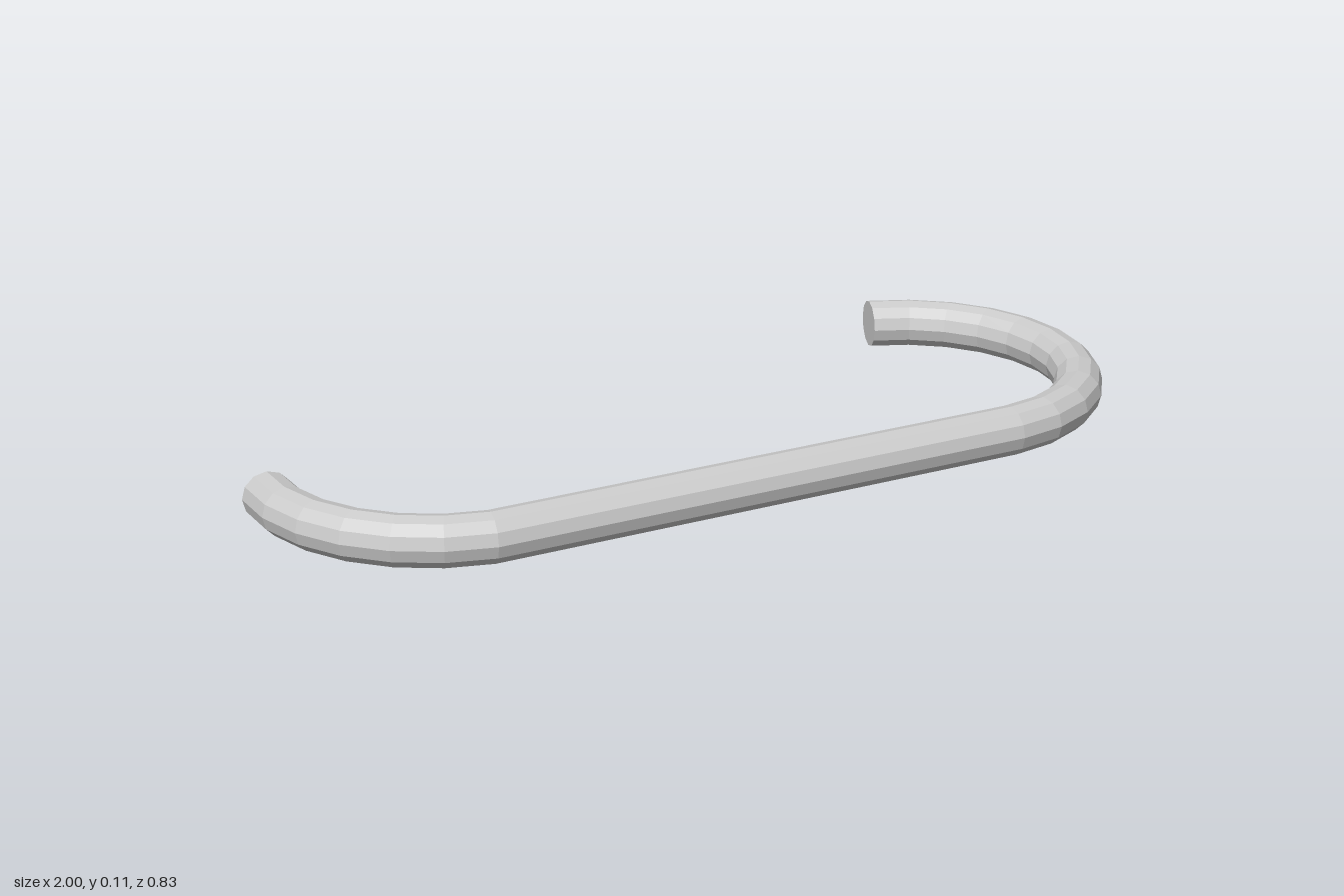
import * as THREE from 'three';

const ROD = 0.054;   // rod radius
const SIDES = 12;
const BEND = 0.372;  // centreline radius of both hooks

// Cross-section stations along one bend: centre point plus outward direction in the ground plane
function bend(cx, cz, fromDeg, toDeg, steps) {
  const stations = [];
  for (let i = 0; i <= steps; i++) {
    const a = THREE.MathUtils.degToRad(fromDeg + (toDeg - fromDeg) * i / steps);
    const out = new THREE.Vector3(Math.cos(a), 0, Math.sin(a));
    stations.push({ p: new THREE.Vector3(cx, ROD, cz).addScaledVector(out, BEND), out });
  }
  return stations;
}

// Sweeps a round section through the stations and caps both ends
function sweep(stations) {
  const pos = [], index = [];
  for (const { p, out } of stations) {
    for (let j = 0; j < SIDES; j++) {
      const t = j / SIDES * Math.PI * 2;
      const c = Math.cos(t) * ROD;
      pos.push(p.x + out.x * c, p.y + Math.sin(t) * ROD, p.z + out.z * c);
    }
  }
  const last = (stations.length - 1) * SIDES;
  for (let i = 0; i < last; i += SIDES) {
    for (let j = 0; j < SIDES; j++) {
      const k = (j + 1) % SIDES;
      index.push(i + j, i + k, i + SIDES + j, i + k, i + SIDES + k, i + SIDES + j);
    }
  }
  for (let j = 1; j < SIDES - 1; j++) {
    index.push(0, j + 1, j, last, last + j, last + j + 1);
  }
  const geo = new THREE.BufferGeometry();
  geo.setAttribute('position', new THREE.Float32BufferAttribute(pos, 3));
  geo.setIndex(index);
  // Make every triangle face outwards for the direction of travel along the rod
  const travel = stations[1].p.clone().sub(stations[0].p);
  const side = new THREE.Vector3().crossVectors(stations[0].out, new THREE.Vector3(0, 1, 0));
  if (side.dot(travel) < 0) {
    for (let i = 0; i < index.length; i += 3) [index[i], index[i + 1]] = [index[i + 1], index[i]];
    geo.setIndex(index);
  }
  const flat = geo.toNonIndexed();
  flat.computeVertexNormals();
  return flat;
}

export function createModel() {
  const group = new THREE.Group();
  group.name = 'doubleHook';

  // Short hook, straight shank, then long hook as one continuous rod
  const stations = [
    ...bend(-0.575, -0.015, 186, 99, 6),
    ...bend(0.575, -0.008, 88, -73.5, 11),
  ];
  const material = new THREE.MeshStandardMaterial({ color: 0xcccccc, flatShading: true });
  const rod = new THREE.Mesh(sweep(stations), material);
  rod.name = 'bentRod';
  group.add(rod);
  return group;
}
